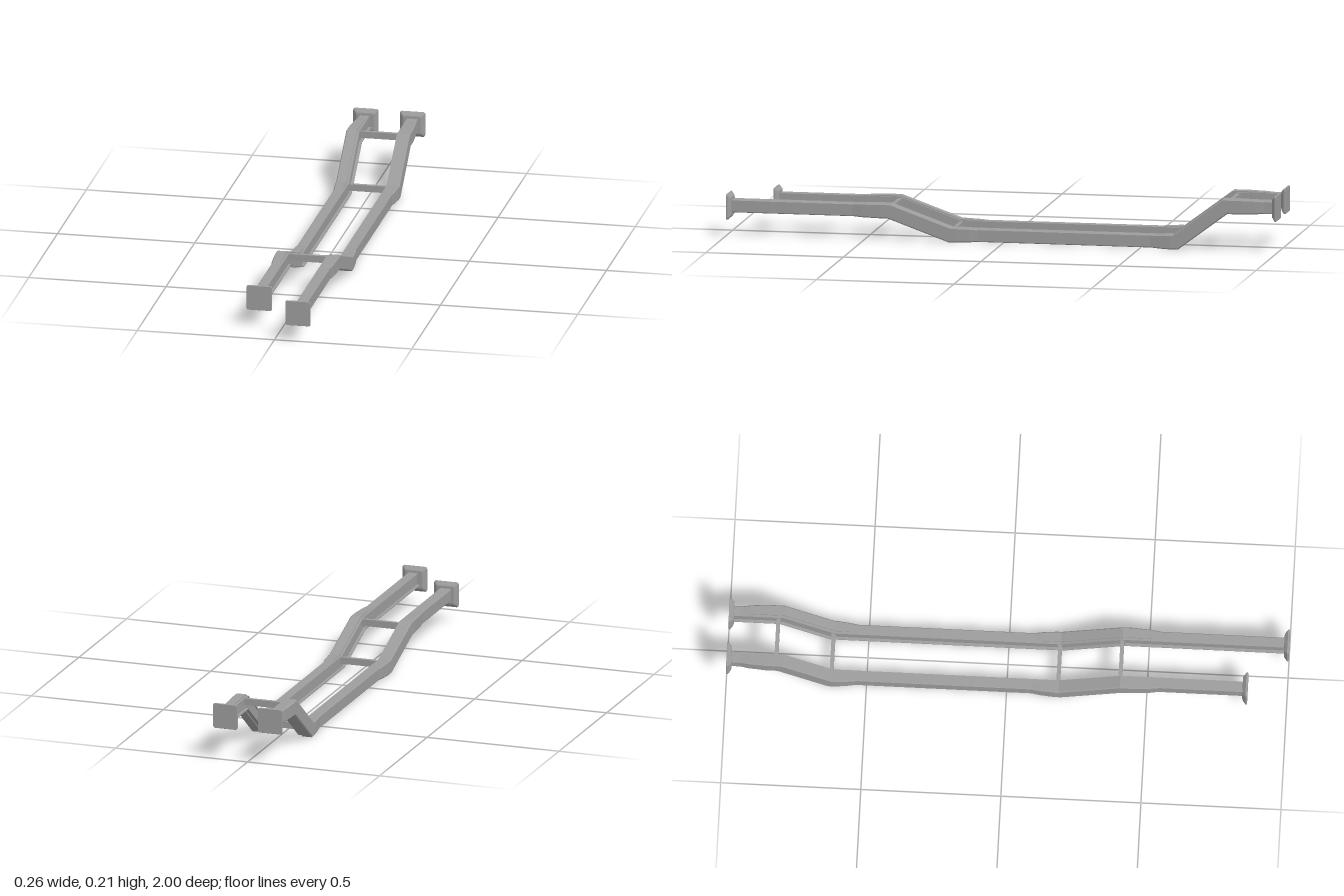
import * as THREE from 'three';

const material = new THREE.MeshStandardMaterial({ color: 0x9c9c9c, flatShading: true });

// Skin a series of matching rings, ordered from front (+z) to back, and cap both ends.
// Each ring is a list of Vector3, anticlockwise as seen from the front.
function loft(rings, name, mirror) {
  const n = rings[0].length;
  const positions = [];
  const tri = (a, b, c) => {
    for (const p of mirror ? [a, c, b] : [a, b, c]) positions.push(mirror ? -p.x : p.x, p.y, p.z);
  };
  for (let r = 0; r < rings.length - 1; r++) {
    const a = rings[r], b = rings[r + 1];
    for (let i = 0; i < n; i++) {
      const j = (i + 1) % n;
      tri(a[i], b[i], a[j]);
      tri(a[j], b[i], b[j]);
    }
  }
  const first = rings[0], last = rings[rings.length - 1];
  const faces = THREE.ShapeUtils.triangulateShape(first.map(p => new THREE.Vector2(p.x, p.y)), []);
  for (const [a, b, c] of faces) {
    tri(first[a], first[b], first[c]);
    tri(last[a], last[c], last[b]);
  }
  const geometry = new THREE.BufferGeometry();
  geometry.setAttribute('position', new THREE.Float32BufferAttribute(positions, 3));
  geometry.computeVertexNormals();
  const mesh = new THREE.Mesh(geometry, material);
  mesh.name = name;
  return mesh;
}

// Place a profile at every [z, y] path point, mitred at the bends.
function sweepRings(path, profileAt) {
  const dir = (a, b) => new THREE.Vector2(b[0] - a[0], b[1] - a[1]).normalize();
  return path.map((p, i) => {
    const before = dir(path[Math.max(i - 1, 0)], path[Math.max(i, 1)]);
    const after = i < path.length - 1 ? dir(p, path[i + 1]) : before;
    const normal = new THREE.Vector2(before.y, -before.x);
    const mitre = new THREE.Vector2(before.y + after.y, -before.x - after.x).normalize();
    mitre.divideScalar(mitre.dot(normal));
    return profileAt(i).map(([x, y]) =>
      new THREE.Vector3(x, p[1] + y * mitre.y, p[0] + y * mitre.x));
  });
}

// Rail section: narrow top flange, shallow web and a wider ledge at the bottom
const railProfile = [
  [0.062, -0.023], [0.104, -0.023], [0.107, -0.020], [0.107, 0.020], [0.104, 0.023],
  [0.068, 0.023], [0.068, 0.019], [0.072, 0.019], [0.072, -0.019], [0.062, -0.019],
];

// Reinforcing sleeve section around the outer side of a rail
function sleeveProfile(outer, half) {
  const c = 0.004;
  return [
    [0.077, -half], [outer - c, -half], [outer, c - half],
    [outer, half - c], [outer - c, half], [0.077, half],
  ];
}

// Sleeve whose first and last two sections taper into the rail
function sleeve(path, name, mirror) {
  return loft(sweepRings(path, i => {
    const step = Math.min(i, path.length - 1 - i, 2);
    return sleeveProfile([0.106, 0.112, 0.116][step], [0.0225, 0.025, 0.0265][step]);
  }), name, mirror);
}

// Flared end plate with rounded corners; facing is +1 for front, -1 for back
function endPlate(y, z, facing, name, mirror) {
  const ring = (half, depth) => {
    const points = [], radius = half * 0.16, segments = 4;
    for (let corner = 0; corner < 4; corner++) {
      const start = corner * Math.PI / 2;
      const cx = Math.sign(Math.cos(start + 0.7)) * (half - radius);
      const cy = Math.sign(Math.sin(start + 0.7)) * (half - radius);
      for (let s = 0; s <= segments; s++) {
        const angle = start + s / segments * Math.PI / 2;
        points.push(new THREE.Vector3(
          0.085 + cx + radius * Math.cos(angle),
          y + cy + radius * Math.sin(angle),
          z - facing * depth));
      }
    }
    return points;
  };
  const rings = [ring(0.045, 0), ring(0.046, 0.002), ring(0.046, 0.006), ring(0.034, 0.017), ring(0.03, 0.018)];
  if (facing < 0) rings.reverse();
  return loft(rings, name, mirror);
}

export function createModel() {
  const model = new THREE.Group();
  model.name = 'ladderFrame';
  const high = 0.107, low = 0.0285, rear = 0.163;

  // Side rails with sleeves and end plates; the left rail reaches further forward
  for (const [side, mirror, frontZ] of [['left', false, 1], ['right', true, 0.86]]) {
    const group = new THREE.Group();
    group.name = side + 'Rail';
    const path = [[frontZ - 0.004, high], [0.41, high], [0.19, low], [-0.63, low], [-0.81, rear], [-0.996, rear]];
    group.add(
      loft(sweepRings(path, () => railProfile), side + 'Channel', mirror),
      sleeve([[0.55, high], [0.51, high], [0.44, high], [0.41, high],
        [0.19, low], [0.17, low], [0.12, low], [0.08, low]], side + 'FrontSleeve', mirror),
      sleeve([[-0.53, low], [-0.57, low], [-0.61, low], [-0.63, low],
        [-0.81, rear], [-0.86, rear], [-0.92, rear], [-0.96, rear]], side + 'RearSleeve', mirror),
      endPlate(0.106, frontZ, 1, side + 'FrontPlate', mirror),
      endPlate(0.162, -1, -1, side + 'RearPlate', mirror),
    );
    model.add(group);
  }

  // Cross members near each bend
  const crossMembers = [[0.114, 0.405], [0.036, 0.183], [0.036, -0.626], [0.17, -0.823]];
  crossMembers.forEach(([y, z], i) => {
    const bar = new THREE.Mesh(new THREE.BoxGeometry(0.15, 0.024, 0.014), material);
    bar.position.set(0, y, z);
    bar.name = 'crossMember' + (i + 1);
    model.add(bar);
  });
  return model;
}
